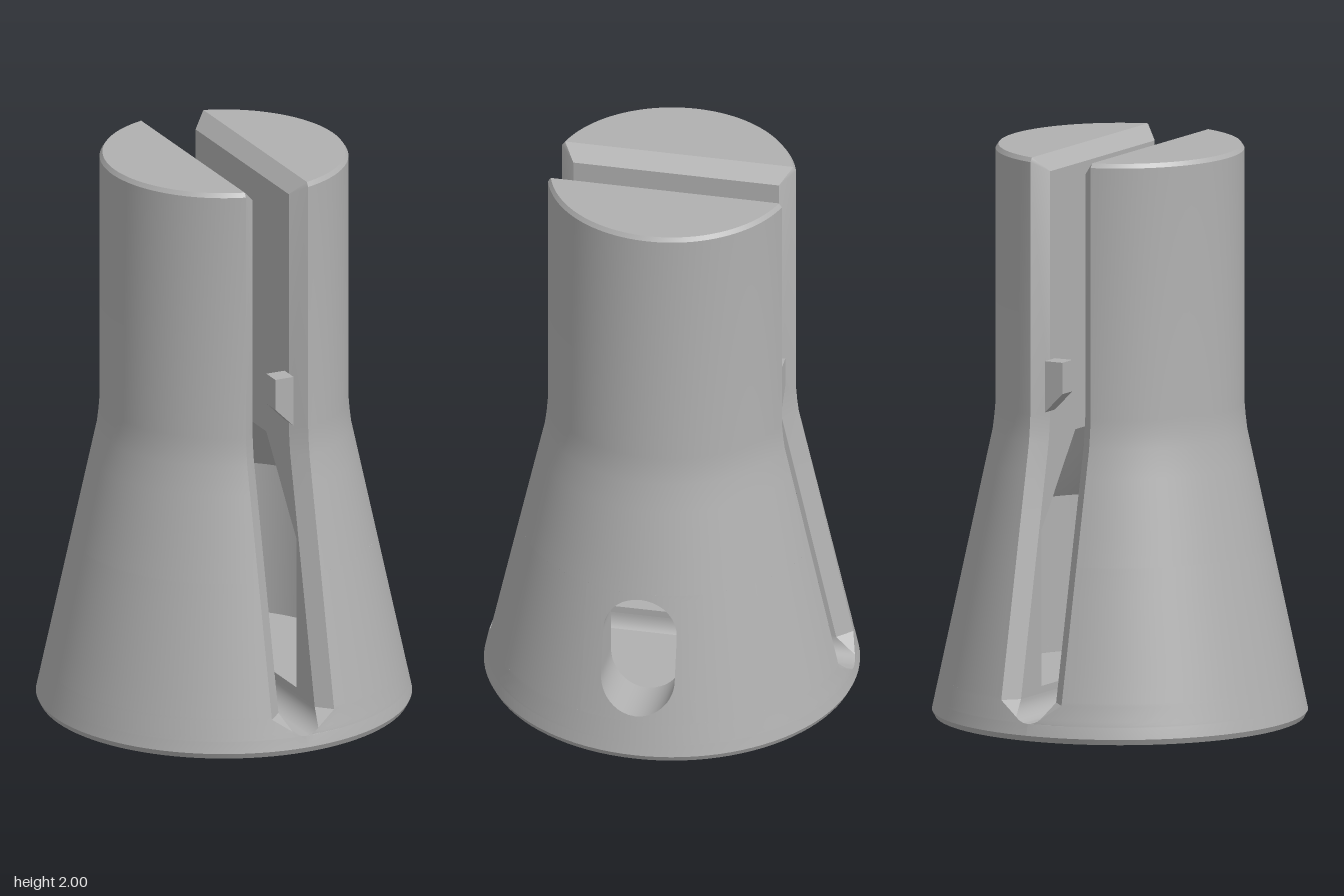
import * as THREE from 'three';
import { toCreasedNormals } from 'three/addons/utils/BufferGeometryUtils.js';

const SLOT = 0.07, LIP = 0.12;           // half widths of the slot and of its chamfered mouth
const SLOT_Y = 0.13, CAVITY_R = 0.43;
const PROFILE = [[0.64, 0], [0.65, 0.02], [0.44, 1.0], [0.434, 1.05], [0.43, 1.1], [0.43, 1.985], [0.42, 2]];

// Outer radius at height y
function radius(y) {
  for (let i = 1; i < PROFILE.length; i++) {
    const [r0, y0] = PROFILE[i - 1], [r1, y1] = PROFILE[i];
    if (y <= y1) return r0 + (r1 - r0) * (y - y0) / (y1 - y0);
  }
  return 0.42;
}

// Skin a list of equally long point rows
function loft(rows) {
  const n = rows[0].length, index = [];
  for (let i = 0; i < rows.length - 1; i++) {
    for (let j = 0; j < n - 1; j++) {
      const a = i * n + j, b = a + n;
      index.push(a, a + 1, b, a + 1, b + 1, b);
    }
  }
  const g = new THREE.BufferGeometry();
  g.setAttribute('position', new THREE.Float32BufferAttribute(rows.flat(2), 3));
  g.setIndex(index);
  return toCreasedNormals(g, 0.5);
}

// Arc around the y axis, angle measured from +x towards +z
function arc(r, y, lo, hi, n = 48) {
  return Array.from({ length: n + 1 }, (_, i) => {
    const t = lo + (hi - lo) * i / n;
    return [r * Math.cos(t), y, r * Math.sin(t)];
  });
}
const edge = (r, x) => (r > 0 ? Math.acos(Math.min(1, x / r)) : Math.PI / 2);
const turned = (profile) => loft(profile.map(([r, y, x]) => arc(r, y, -edge(r, x), edge(r, x))));
const onSurface = (R, y, z) => [Math.sqrt(R(y) ** 2 - z * z), y, z];

// Rounded window: rays from its centre give matching points on a rectangle and on the window outline
const WIN_Y = 0.37, WIN_R = 0.13, WIN_H = 0.08, PATCH_Z = 0.2;
function windowRays(halfH) {
  const corners = [[-1, -1], [1, -1], [1, 1], [-1, 1], [-1, -1]], rays = [];
  for (let k = 0; k < 4; k++) {
    for (let i = 0; i < 16; i++) {
      const f = i / 16, [a, b] = corners[k], [c, d] = corners[k + 1];
      const z = PATCH_Z * (a + (c - a) * f), y = halfH * (b + (d - b) * f);
      let lo = 0, hi = 1;
      for (let s = 0; s < 30; s++) {
        const m = (lo + hi) / 2;
        if (Math.hypot(z * m, Math.max(0, Math.abs(y * m) - WIN_H)) < WIN_R) lo = m; else hi = m;
      }
      rays.push([z, y, lo]);
    }
  }
  rays.push(rays[0]);
  return rays;
}

// Curved wall with the window cut out of it: two side strips and a patch around the hole
function windowedWall(R, halfH, x) {
  const ys = [WIN_Y - halfH, WIN_Y, WIN_Y + halfH];
  const side = (s) => loft(ys.map((y) => {
    const r = R(y);
    return arc(r, y, s * Math.asin(PATCH_Z / r), s * edge(r, x), 24);
  }));
  const rays = windowRays(halfH);
  const patch = [0, 0.25, 0.5, 0.75, 1].map((f) => rays.map(([z, y, s]) => {
    const k = 1 + (s - 1) * f;
    return onSurface(R, WIN_Y + y * k, z * k);
  }));
  return [side(1), side(-1), loft(patch)];
}

export function createModel() {
  const model = new THREE.Group();
  model.name = 'slottedStand';
  const grey = new THREE.MeshStandardMaterial({ color: 0xb0b0b0, side: THREE.DoubleSide });
  grey.name = 'grey';
  const add = (parent, name, geometry) => {
    const m = new THREE.Mesh(geometry, grey);
    m.name = name;
    parent.add(m);
  };

  const cavityR = () => CAVITY_R;
  const lowCavity = 0.155, winCavity = 0.215, winOuter = 0.23;
  const outerRow = (y, x = LIP) => [radius(y), y, x];

  // Foot rows follow the round slot end, then the chamfered mouth
  const foot = [[0, 0, 0], outerRow(0, 0), outerRow(0.02, 0), outerRow(0.06, 0), outerRow(0.063, 0.02),
    outerRow(0.07, 0.036), outerRow(0.08, 0.049), outerRow(SLOT_Y), outerRow(WIN_Y - winOuter)];
  const upper = [0.6, 0.7, 0.8, 0.9, 1.0, 1.05, 1.1, 1.985, 2].map((y) => outerRow(y));
  upper.push([LIP, 2, LIP]);

  // Cavity: flat floor, straight wall, conical roof
  const roof = [[CAVITY_R, WIN_Y + winCavity], [CAVITY_R, 0.7], [0.37, 0.78], [0.3, 0.88], [0.2, 1.02], [SLOT, 1.02]];

  // Edges of the slot mouth
  const ys = [SLOT_Y, 0.3, 0.5, 0.75, 1.0, 1.05, 1.1, 1.985, 2];
  const outerZ = (y) => Math.sqrt(radius(y) ** 2 - LIP * LIP);
  const innerZ = (y) => outerZ(y) - 0.05;
  const innerY = (y) => Math.min(y, 1.95);

  // Flat slot wall, opened where it crosses the cavity
  const wallSide = ys.map((y) => new THREE.Vector2(innerZ(y), innerY(y)));
  const flip = (pts) => pts.map((p) => new THREE.Vector2(-p.x, p.y)).reverse();
  const wall = new THREE.Shape([...wallSide, ...flip(wallSide)]);
  const opening = [[CAVITY_R, lowCavity], ...roof.slice(1, -1)]
    .map(([r, y]) => new THREE.Vector2(Math.sqrt(r * r - SLOT * SLOT), y));
  wall.holes.push(new THREE.Path([...opening, ...flip(opening)]));

  for (const right of [false, true]) {
    const half = new THREE.Group();
    half.name = right ? 'leftHalf' : 'rightHalf';
    if (!right) half.rotation.y = Math.PI;
    model.add(half);

    add(half, 'foot', turned(foot));
    add(half, 'upperBody', turned(upper));
    add(half, 'cavityFloor', turned([[SLOT, lowCavity, SLOT], [CAVITY_R, lowCavity, SLOT]]));
    add(half, 'cavityRoof', turned(roof.map(([r, y]) => [r, y, SLOT])));
    add(half, 'slotWall', new THREE.ShapeGeometry(wall).rotateY(-Math.PI / 2).translate(SLOT, 0, 0));

    if (right) {
      // Side window through the lower wall
      windowedWall(radius, winOuter, LIP).forEach((g) => add(half, 'lowerBody', g));
      windowedWall(cavityR, winCavity, SLOT).forEach((g) => add(half, 'cavityWall', g));
      const rim = windowRays(winOuter).map(([z, y, s]) => [z * s, WIN_Y + y * s]);
      add(half, 'windowTunnel', loft([radius, cavityR].map((R) => rim.map(([z, y]) => onSurface(R, y, z)))));
    } else {
      add(half, 'lowerBody', turned([0.14, 0.25, 0.4, 0.5, 0.6].map((y) => outerRow(y))));
      add(half, 'cavityWall', turned([lowCavity, WIN_Y + winCavity].map((y) => [CAVITY_R, y, SLOT])));
    }

    // Chamfers along the slot mouth and the top edge
    for (const s of [1, -1]) {
      add(half, 'mouthChamfer', loft(ys.map((y) => [[LIP, y, s * outerZ(y)], [SLOT, innerY(y), s * innerZ(y)]])));
      const tip = [0.049, 0.08, s * Math.sqrt(radius(0.08) ** 2 - 0.049 ** 2)];
      add(half, 'mouthCorner', loft([[[LIP, SLOT_Y, s * outerZ(SLOT_Y)], tip],
        [[SLOT, SLOT_Y, s * innerZ(SLOT_Y)], tip]]));
    }
    add(half, 'topChamfer', loft([-1, 1].map((s) => [[LIP, 2, s * outerZ(2)], [SLOT, 1.95, s * innerZ(2)]])));
  }

  // Rounded bottom of the slot
  const floorRows = Array.from({ length: 25 }, (_, i) => {
    const t = Math.PI * i / 24, x = SLOT * Math.cos(t), y = SLOT_Y - SLOT * Math.sin(t);
    let z = Math.sqrt(radius(y) ** 2 - x * x);
    if (y > 0.08) z += (innerZ(SLOT_Y) - z) * (y - 0.08) / 0.05;
    return [[x, y, -z], [x, y, z]];
  });
  add(model, 'slotFloor', loft(floorRows));

  // Two small catches on one slot wall
  const catchShape = new THREE.Shape([[0, 1.29], [0, 1.18], [SLOT, 1.11], [SLOT, 1.29]]
    .map(([x, y]) => new THREE.Vector2(x, y)));
  for (const z of [0.33, -0.4]) {
    add(model, 'catch', new THREE.ExtrudeGeometry(catchShape, { depth: 0.07, bevelEnabled: false }).translate(0, 0, z));
  }
  return model;
}
